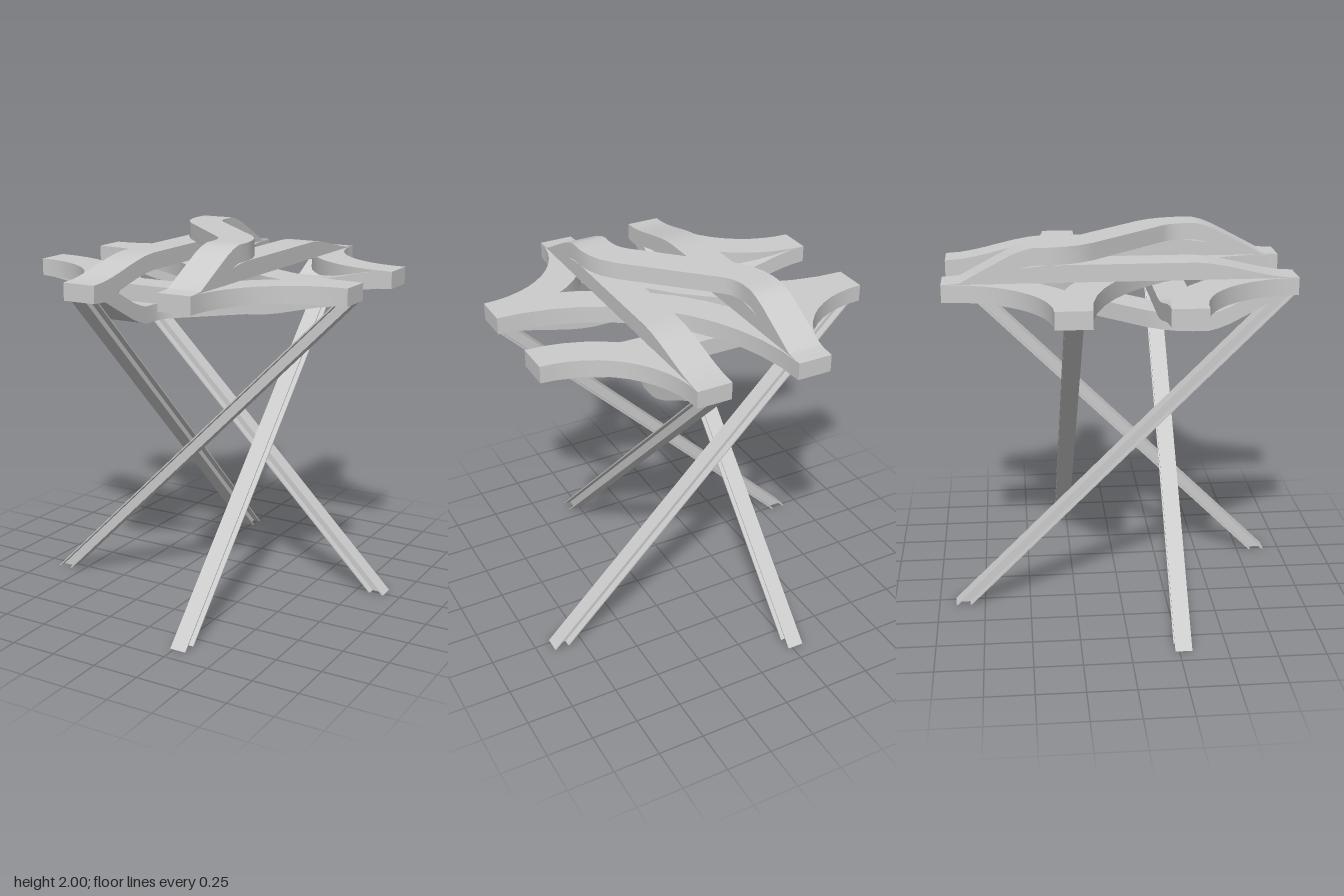
import * as THREE from 'three';

const END = 0.91;      // reach of every arm
const OFF = 0.273;     // offset of the arms from the centre lines
const HALF = 0.091;    // half width of a band
const THICK = 0.09;    // thickness of a band
const BASE = 1.73;     // underside of the arm ends, top of the legs

const material = new THREE.MeshStandardMaterial({ color: 0xcccccc });

// Flat band swept along points [x, z, lift]; sides smooth along the path, edges sharp
function band(name, path) {
  const sections = path.map(([x, z, lift], i) => {
    const a = path[Math.max(i - 1, 0)], b = path[Math.min(i + 1, path.length - 1)];
    const t = new THREE.Vector2(b[0] - a[0], b[1] - a[1]).normalize();
    // cut the ends square to the axes
    if (i === 0 || i === path.length - 1) {
      if (Math.abs(t.x) > Math.abs(t.y)) t.set(Math.sign(t.x), 0);
      else t.set(0, Math.sign(t.y));
    }
    const rx = -t.y * HALF, rz = t.x * HALF, lo = BASE + lift, hi = lo + THICK;
    return [[x - rx, hi, z - rz], [x + rx, hi, z + rz], [x + rx, lo, z + rz], [x - rx, lo, z - rz]];
  });
  const pos = [], index = [];
  for (let k = 0; k < 4; k++) {
    const start = pos.length / 3;
    sections.forEach((s) => pos.push(...s[k], ...s[(k + 1) % 4]));
    for (let i = 0; i < sections.length - 1; i++) {
      const a = start + i * 2;
      index.push(a, a + 1, a + 3, a, a + 3, a + 2);
    }
  }
  const cap = (corners) => {
    const a = pos.length / 3;
    corners.forEach((c) => pos.push(...c));
    index.push(a, a + 1, a + 2, a, a + 2, a + 3);
  };
  cap([...sections[0]].reverse());
  cap(sections[sections.length - 1]);
  const geo = new THREE.BufferGeometry();
  geo.setAttribute('position', new THREE.Float32BufferAttribute(pos, 3));
  geo.setIndex(index);
  geo.computeVertexNormals();
  const mesh = new THREE.Mesh(geo, material);
  mesh.name = name;
  return mesh;
}

// Straight band that bows gently by rise in the middle
function straightPath(rise) {
  const path = [], n = 24;
  for (let i = 0; i <= n; i++) {
    const s = -END + (2 * END * i) / n;
    path.push([OFF, s, rise * THREE.MathUtils.smoothstep(END - Math.abs(s), 0, 0.55)]);
  }
  return path;
}

// S-shaped band: sx mirrors it, rise is the lift of the middle
function crossoverPath(sx, rise) {
  const half = [
    [OFF, 0.91, 0], [OFF, 0.82, 0.03], [OFF, 0.69, 0.42], [OFF, 0.56, 0.8], [OFF, 0.5, 0.93],
    [OFF, 0.45, 1], [OFF, 0.37, 1], [0.262, 0.31, 1], [0.24, 0.255, 1], [0.2, 0.2, 1],
  ];
  const other = half.map(([x, z, l]) => [-x, -z, l]).reverse();
  return [...half, ...other].map(([x, z, l]) => [x * sx, z, l * rise]);
}

// Quarter arc round the corner (cx, cz)
function arcPath(cx, cz, radius, n) {
  const path = [];
  for (let i = 0; i <= n; i++) {
    const a = (i / n) * Math.PI / 2;
    path.push([cx * (END - radius * Math.cos(a)), cz * (END - radius * Math.sin(a)), 0]);
  }
  return path;
}

// Leaning I-section leg, cut level at both ends
function legGeometry() {
  const w = 0.044, f = 0.01, v = 0.006;
  const shape = new THREE.Shape([
    [-w, -w], [w, -w], [w, f - w], [v, f - w], [v, w - f], [w, w - f],
    [w, w], [-w, w], [-w, w - f], [-v, w - f], [-v, f - w], [-w, f - w],
  ].map(([x, y]) => new THREE.Vector2(x, y)));
  const geo = new THREE.ExtrudeGeometry(shape, { depth: BASE, bevelEnabled: false });
  geo.rotateX(-Math.PI / 2);
  const p = geo.attributes.position;
  for (let i = 0; i < p.count; i++) {
    p.setX(i, p.getX(i) + OFF);
    p.setZ(i, p.getZ(i) + (END - w) * (1 - (2 * p.getY(i)) / BASE));
  }
  geo.computeVertexNormals();
  return geo;
}

export function createModel() {
  const model = new THREE.Group();
  model.name = 'stool';

  // Crossovers at the very top and bottom of the seat
  const seat = new THREE.Group();
  seat.name = 'seat';
  seat.add(band('upperCrossover', crossoverPath(1, 2 * THICK)));
  seat.add(band('lowerCrossover', crossoverPath(-1, -2 * THICK)));

  // Straight bands: front-to-back ones bow up, side-to-side ones bow down
  for (const turn of [0, Math.PI]) {
    const over = band('raisedBand', straightPath(THICK));
    over.rotation.y = turn;
    const under = band('sunkenBand', straightPath(-THICK));
    under.rotation.y = turn + Math.PI / 2;
    seat.add(over, under);
  }

  // Level quarter arcs in the middle layer
  for (const cx of [-1, 1]) {
    for (const cz of [-1, 1]) {
      seat.add(band('cornerArc', arcPath(cx, cz, END - OFF, 12)));
      if (cx !== cz) seat.add(band('wideArc', arcPath(cx, cz, END + OFF, 12)));
    }
  }
  model.add(seat);

  // Four crossing legs
  const legGeo = legGeometry();
  for (let i = 0; i < 4; i++) {
    const leg = new THREE.Mesh(legGeo, material);
    leg.name = 'leg';
    leg.rotation.y = (i * Math.PI) / 2;
    model.add(leg);
  }
  return model;
}
